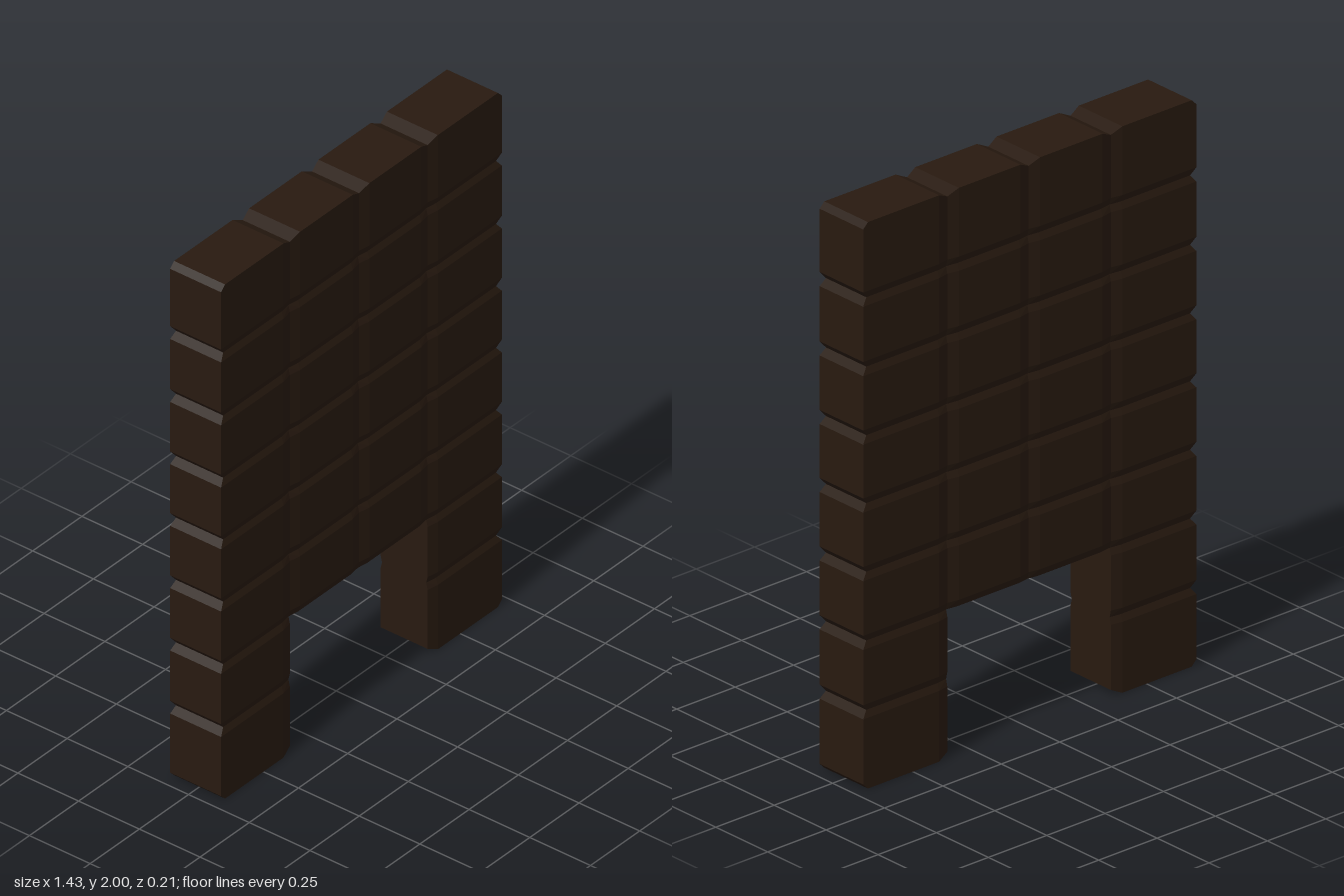
import * as THREE from 'three';
import { ConvexGeometry } from 'three/addons/geometries/ConvexGeometry.js';

// Column and row seams of the block wall
const COLS = [-0.714, -0.355, -0.003, 0.345, 0.712];
const ROWS = [0, 0.275, 0.52, 0.763, 1.005, 1.245, 1.487, 1.732, 2];
const DEPTH = 0.105;  // half thickness
const SEAM = 0.097;   // half thickness along a seam
const CROSS = 0.091;  // half thickness where seams cross

// One bevelled block: bevels toward neighbours are cut into the thickness,
// free outer edges stay square front to back.
function blockGeometry(col, row) {
  const points = [];
  const add = (x, y, z) => points.push(new THREE.Vector3(x, y, z), new THREE.Vector3(x, y, -z));
  for (const i of [0, 1]) {
    for (const j of [0, 1]) {
      const x = COLS[col + i], y = ROWS[row + j];
      const outerX = col + i === 0 || col + i === COLS.length - 1;
      const outerY = row + j === 0 || row + j === ROWS.length - 1;
      const xi = x + (i ? -1 : 1) * (outerX ? 0.02 : 0.042);
      const yi = y + (j ? -1 : 1) * (outerY ? 0.02 : 0.025);
      add(xi, yi, DEPTH);
      add(x, yi, outerX ? DEPTH : SEAM);
      add(xi, y, outerY ? DEPTH : SEAM);
      // Fill the corner where four blocks meet
      if (!outerX && !outerY) add(x, y, CROSS);
    }
  }
  return new ConvexGeometry(points);
}

export function createModel() {
  const model = new THREE.Group();
  model.name = 'blockArch';
  const material = new THREE.MeshStandardMaterial({ color: 0x281a10, flatShading: true });

  const parts = {};
  for (const name of ['rightLeg', 'leftLeg', 'wall']) {
    parts[name] = new THREE.Group();
    parts[name].name = name;
    model.add(parts[name]);
  }

  for (let row = 0; row < ROWS.length - 1; row++) {
    for (let col = 0; col < COLS.length - 1; col++) {
      const isLegRow = row < 2;
      // Doorway opening between the legs
      if (isLegRow && (col === 1 || col === 2)) continue;
      const block = new THREE.Mesh(blockGeometry(col, row), material);
      block.name = 'block';
      const part = !isLegRow ? 'wall' : col === 0 ? 'rightLeg' : 'leftLeg';
      parts[part].add(block);
    }
  }
  return model;
}
